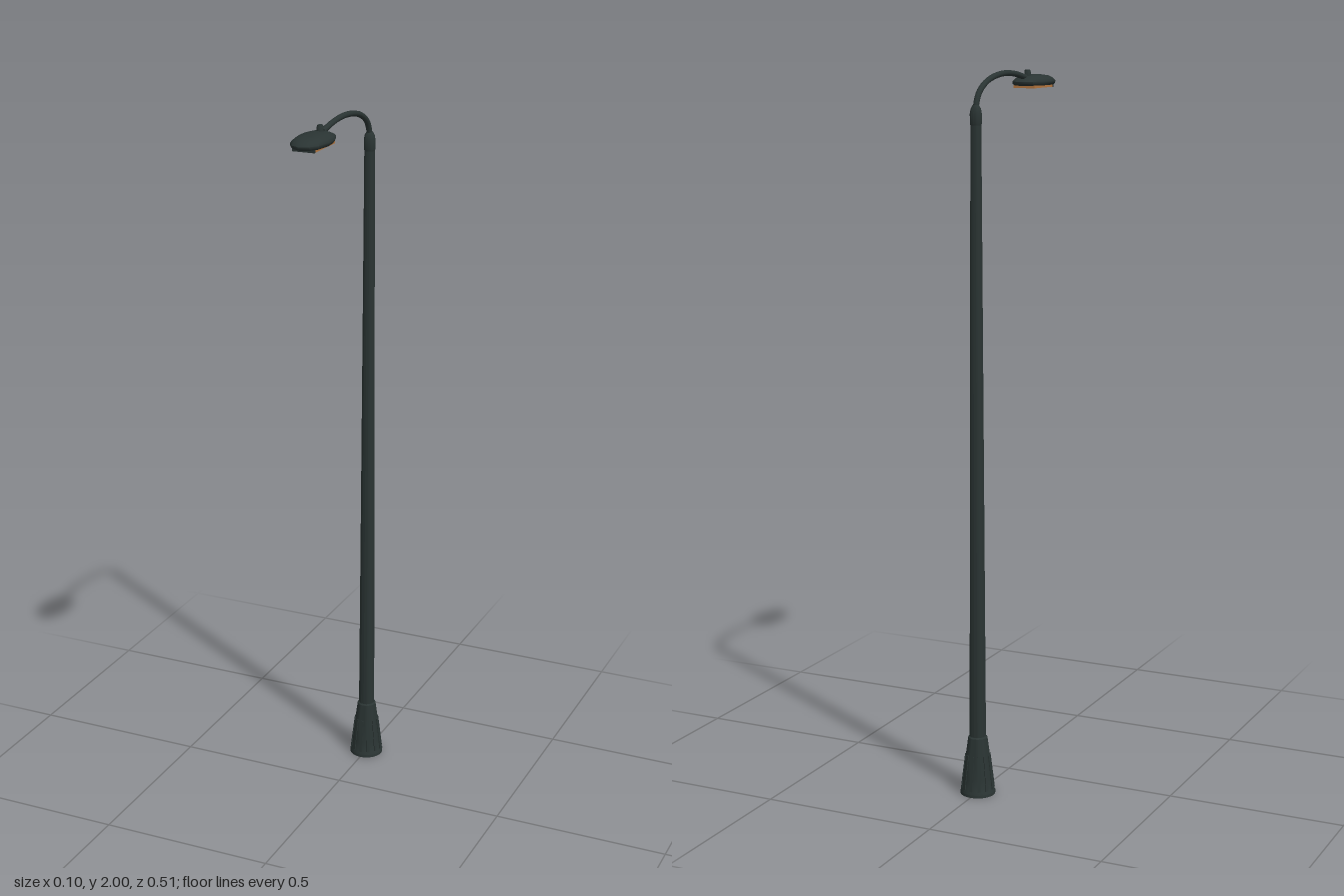
import * as THREE from 'three';
import { toCreasedNormals } from 'three/addons/utils/BufferGeometryUtils.js';

const POLE_Z = -0.204;

export function createModel() {
  const model = new THREE.Group();
  model.name = 'streetLamp';
  const metal = new THREE.MeshStandardMaterial({ color: 0x2a3433 });
  metal.name = 'dark painted metal';
  const amber = new THREE.MeshStandardMaterial({ color: 0xb4763f });
  amber.name = 'amber lens';

  const add = (name, geometry, material, x = 0, y = 0, z = 0) => {
    const mesh = new THREE.Mesh(geometry, material);
    mesh.name = name;
    mesh.position.set(x, y, z);
    model.add(mesh);
    return mesh;
  };
  const lathe = (points, sides) => toCreasedNormals(
    new THREE.LatheGeometry(points.map(([r, y]) => new THREE.Vector2(r, y)), sides), 0.6);

  // Flared base with a closed underside
  add('base', lathe([
    [0, 0], [0.049, 0], [0.049, 0.008], [0.045, 0.014], [0.042, 0.05],
    [0.035, 0.105], [0.028, 0.157], [0.027, 0.165], [0.022, 0.169],
  ], 24), metal, 0, 0, POLE_Z);

  // Slim raised ribs around the base
  for (let i = 0; i < 12; i++) {
    const pivot = new THREE.Group();
    pivot.name = 'baseRib';
    pivot.position.z = POLE_Z;
    pivot.rotation.y = (i / 12) * Math.PI * 2;
    const rib = new THREE.Mesh(new THREE.BoxGeometry(0.008, 0.1, 0.004), metal);
    rib.name = 'rib';
    rib.position.set(0, 0.066, 0.0395);
    rib.rotation.x = -0.12;
    pivot.add(rib);
    model.add(pivot);
  }

  // Tapered pole
  add('pole', lathe([[0.023, 0.16], [0.0145, 1.87]], 16), metal, 0, 0, POLE_Z);

  // Collar joining pole and arm
  add('collar', lathe([
    [0.0135, 1.858], [0.016, 1.866], [0.016, 1.892], [0.0135, 1.905], [0.0085, 1.914], [0, 1.914],
  ], 16), metal, 0, 0, POLE_Z);

  // Curved arm reaching forward
  const armPath = new THREE.CatmullRomCurve3([
    [1.89, POLE_Z], [1.917, -0.201], [1.945, -0.185], [1.97, -0.145], [1.985, -0.09],
    [1.991, -0.025], [1.987, 0.04], [1.976, 0.102],
  ].map(([y, z]) => new THREE.Vector3(0, y, z)));
  add('arm', new THREE.TubeGeometry(armPath, 32, 0.008, 10, false), metal);
  const armEnd = add('armEnd', new THREE.CylinderGeometry(0.008, 0.008, 0.004, 10), metal, 0, 1.976, 0.102);
  armEnd.rotation.x = Math.PI / 2 + 0.17;

  // Lamp head: one plan outline, scaled at several heights from bottom to top
  const side = [[0.014, 0.075], [0.031, 0.088], [0.045, 0.128], [0.049, 0.17], [0.041, 0.217], [0.025, 0.241]];
  const outline = [
    ...side, [0, 0.253],
    ...side.slice().reverse().map(([x, z]) => [-x, z]),
  ];
  const layers = [
    [0, 1.953], [0.8, 1.953], [0.9, 1.953], [0.99, 1.958], [1, 1.964],
    [0.9, 1.971], [0.68, 1.978], [0.36, 1.981], [0, 1.982],
  ];
  const centreZ = 0.164;
  const n = outline.length;
  const positions = [];
  const index = [];
  layers.forEach(([scale, y], l) => {
    outline.forEach(([x, z], i) => {
      positions.push(x * scale, y, centreZ + (z - centreZ) * scale);
      if (l === layers.length - 1) return;
      const a = l * n + i, b = l * n + (i + 1) % n;
      index.push(a, b + n, b, a, a + n, b + n);
    });
  });
  const head = new THREE.BufferGeometry();
  head.setAttribute('position', new THREE.Float32BufferAttribute(positions, 3));
  head.setIndex(index);
  add('lampHead', toCreasedNormals(head, 0.9), metal);

  // Amber lens under the head, with a dark lip in front
  add('lens', new THREE.BoxGeometry(0.064, 0.008, 0.122), amber, 0, 1.95, 0.158);
  add('lensLip', new THREE.BoxGeometry(0.064, 0.009, 0.005), metal, 0, 1.9498, 0.2215);

  // Light sensor on top of the head
  add('sensor', lathe([
    [0.009, 1.974], [0.009, 1.991], [0.007, 1.996], [0, 1.996],
  ], 16), metal, 0, 0, 0.12);

  return model;
}
